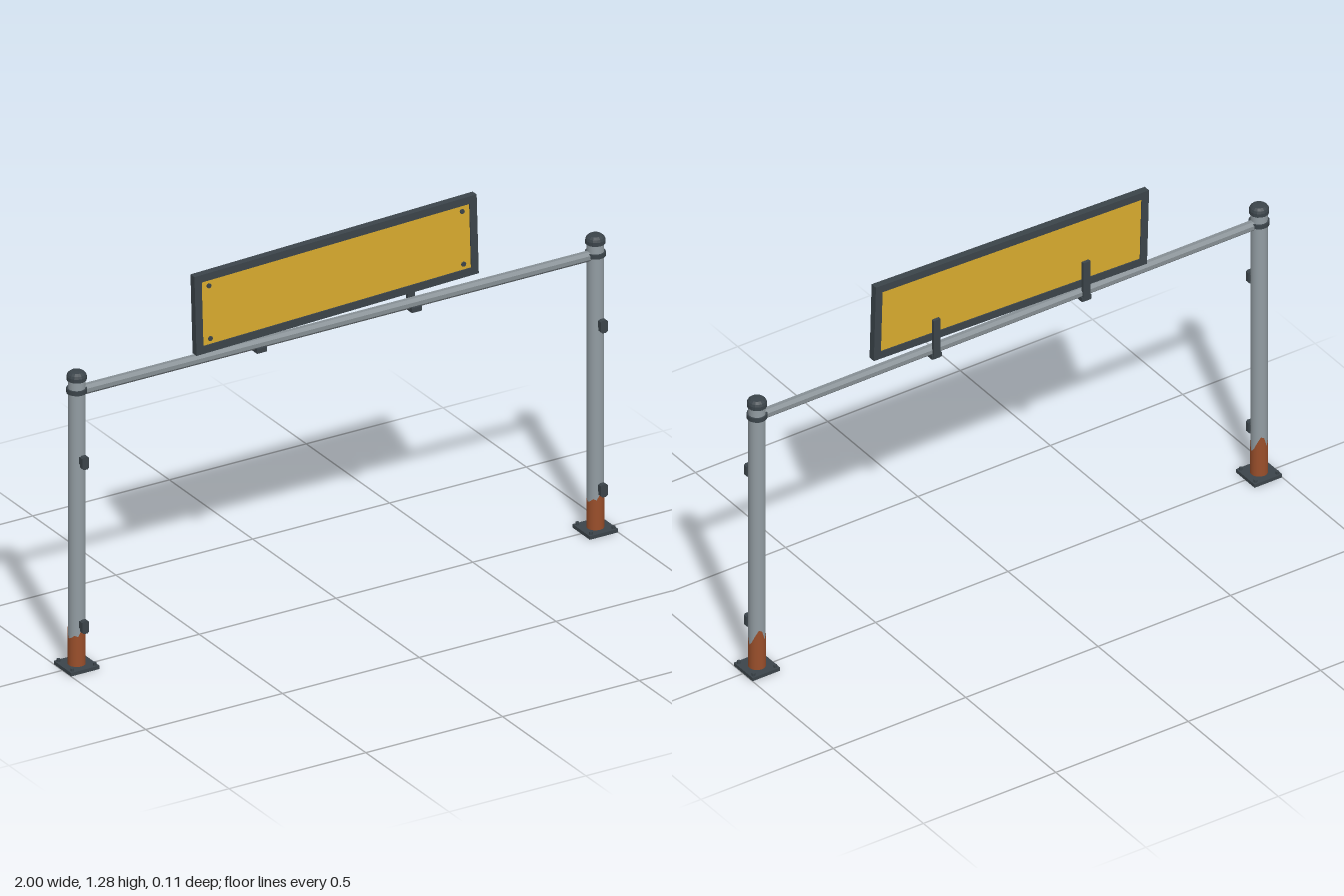
import * as THREE from 'three';

const mat = (color, extra = {}) => new THREE.MeshStandardMaterial({ color, ...extra });
const steel = mat(0x929ca2);
const barSteel = mat(0x868f94, { flatShading: true });
const dark = mat(0x3b444a, { flatShading: true });
const darkSmooth = mat(0x3b444a);
const rust = mat(0x9a4f2b, { side: THREE.DoubleSide });
const yellow = mat(0xd9ab2e);

const POST_X = 0.948, POST_R = 0.0275, BAR_Y = 0.955;

function add(parent, name, geometry, material, x = 0, y = 0, z = 0) {
  const mesh = new THREE.Mesh(geometry, material);
  mesh.name = name;
  mesh.position.set(x, y, z);
  parent.add(mesh);
  return mesh;
}

const box = (w, h, d) => new THREE.BoxGeometry(w, h, d);
const cyl = (r, h, n) => new THREE.CylinderGeometry(r, r, h, n);
const lathe = (pts, n) => new THREE.LatheGeometry(pts.map(p => new THREE.Vector2(...p)), n);

// Open sleeve with a ragged upper edge
function rustSleeve() {
  const heights = [0.135, 0.14, 0.125, 0.125, 0.1, 0.115, 0.14, 0.16,
    0.155, 0.12, 0.14, 0.12, 0.105, 0.11, 0.12, 0.115];
  const n = heights.length;
  const g = new THREE.CylinderGeometry(POST_R + 0.001, POST_R + 0.001, 1, n, 1, true);
  const p = g.attributes.position;
  for (let i = 0; i < p.count; i++) p.setY(i, p.getY(i) > 0 ? heights[i % (n + 1) % n] : 0.012);
  return g;
}

// Plate with cut corners, facing +z
function lugPlate(w, h, d, c) {
  const s = new THREE.Shape([[-w + c, -h], [w - c, -h], [w, -h + c], [w, h - c],
    [w - c, h], [-w + c, h], [-w, h - c], [-w, -h + c]].map(p => new THREE.Vector2(...p)));
  return new THREE.ExtrudeGeometry(s, { depth: d, bevelEnabled: false });
}

function createPost(name) {
  const post = new THREE.Group();
  post.name = name;

  // Base plate with four bolts
  add(post, 'basePlate', box(0.104, 0.012, 0.104), dark, 0, 0.006, 0);
  for (const x of [-0.041, 0.041]) for (const z of [-0.041, 0.041])
    add(post, 'baseBolt', cyl(0.006, 0.009, 6), dark, x, 0.0165, z);

  // Shaft, rust, collar and cap
  add(post, 'shaft', cyl(POST_R, 0.99, 24), steel, 0, 0.507, 0);
  add(post, 'rustSleeve', rustSleeve(), rust);
  add(post, 'collar', cyl(0.033, 0.015, 20), darkSmooth, 0, 0.959, 0);
  add(post, 'cap', lathe([[0, 0.995], [0.032, 0.995], [0.032, 1.008],
    [0.029, 1.016], [0.021, 1.023], [0, 1.025]], 16), dark);

  // Lugs on the front of the shaft
  for (const y of [0.158, 0.726]) {
    add(post, 'lugNeck', box(0.014, 0.024, 0.022), dark, 0, y, 0.033);
    add(post, 'lug', lugPlate(0.012, 0.022, 0.015, 0.005), dark, 0, y, 0.04);
  }
  return post;
}

function createSign() {
  const sign = new THREE.Group();
  sign.name = 'sign';
  const W = 1.032, H = 0.275, B = 0.026, D = 0.024;

  // Frame of four rails
  for (const s of [-1, 1]) {
    add(sign, 'frameRail', box(W, B, D), dark, 0, s * (H - B) / 2, 0);
    add(sign, 'frameStile', box(B, H - 2 * B, D), dark, s * (W - B) / 2, 0, 0);
  }
  add(sign, 'panel', box(W - 2 * B, H - 2 * B, 0.016), yellow);

  // Corner bolts on the front
  for (const x of [-0.463, 0.463]) for (const y of [-0.092, 0.092])
    add(sign, 'panelBolt', cyl(0.008, 0.006, 8), dark, x, y, 0.01).rotation.x = Math.PI / 2;

  sign.position.set(-0.005, 1.125, 0);
  sign.rotation.z = 0.0285;
  return sign;
}

function createBracket(x) {
  const bracket = new THREE.Group();
  bracket.name = 'bracket';
  add(bracket, 'upright', box(0.026, 0.145, 0.011), dark, 0, 1.0025, -0.0175);
  add(bracket, 'foot', box(0.037, 0.016, 0.043), dark, 0, 0.938, 0);
  bracket.position.x = x;
  return bracket;
}

export function createModel() {
  const model = new THREE.Group();
  model.name = 'signGate';

  for (const [name, s] of [['rightPost', -1], ['leftPost', 1]]) {
    const post = createPost(name);
    post.position.x = s * POST_X;
    model.add(post);
  }

  // Eight-sided crossbar between the posts
  const bar = cyl(0.0175, 2 * POST_X, 8);
  bar.rotateY(Math.PI / 8).rotateZ(Math.PI / 2);
  add(model, 'crossbar', bar, barSteel, 0, BAR_Y, 0);

  model.add(createSign(), createBracket(-0.283), createBracket(0.283));
  return model;
}
